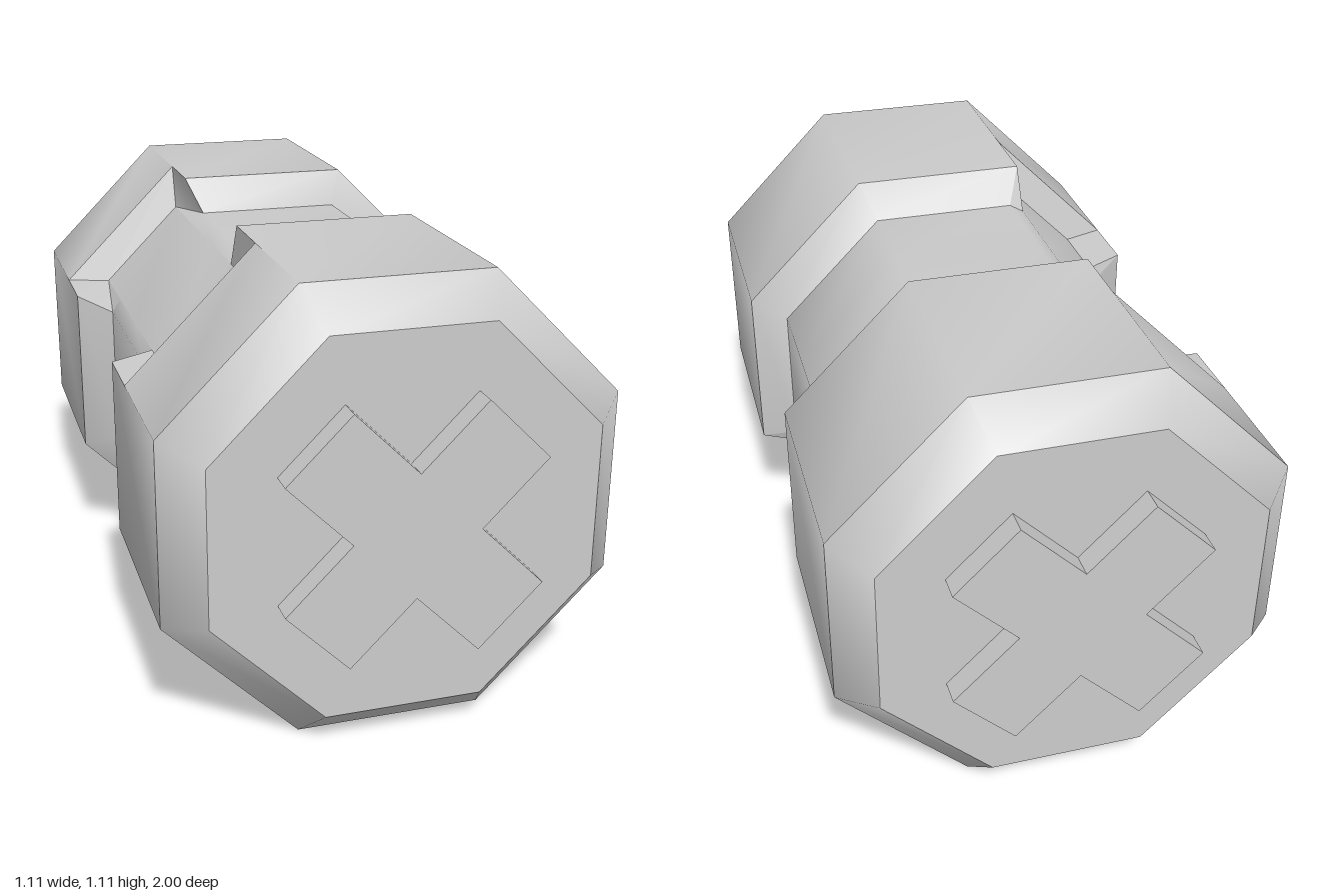
import * as THREE from 'three';
import { toCreasedNormals } from 'three/addons/utils/BufferGeometryUtils.js';

const OUTER = 0.553, INNER = 0.463, CENTER_Y = 0.553; // apothems of the octagons
const TAN = Math.tan(Math.PI / 8);
const NOTCHED = [3, 7]; // two opposite diagonal sides

// Point on octagon side k: distance d from the axis, offset t along the side
function at(k, d, t, z) {
  const a = k * Math.PI / 4;
  return [d * Math.cos(a) - t * Math.sin(a), d * Math.sin(a) + t * Math.cos(a), z];
}
const start = (k, d, z) => at(k, d, -d * TAN, z);
const end = (k, d, z) => at(k, d, d * TAN, z);

export function createModel() {
  const model = new THREE.Group();
  const body = new THREE.Group();
  body.position.y = CENTER_Y;
  body.name = 'canister';
  model.add(body);
  const material = new THREE.MeshStandardMaterial({ color: 0xcccccc });
  const parts = { cap: [], capChamfer: [], outerShell: [], innerBevel: [], core: [], notchWalls: [] };

  for (const s of [1, -1]) {
    // Add a convex polygon, mirrored to the other end when s is -1
    const poly = (name, ...pts) => {
      const p = pts.map(([x, y, z]) => [x, y, z * s]);
      if (s < 0) p.reverse();
      for (let i = 1; i < p.length - 1; i++) parts[name].push(...p[0], ...p[i], ...p[i + 1]);
    };
    // Strip across side k between two octagons
    const strip = (name, k, d0, z0, d1, z1) =>
      poly(name, start(k, d0, z0), end(k, d0, z0), end(k, d1, z1), start(k, d1, z1));

    const rim = [];
    for (let k = 0; k < 8; k++) {
      rim.push(start(k, INNER, 0.94));
      strip('capChamfer', k, OUTER, 0.84, INNER, 0.94);
      const notch = NOTCHED.includes(k);
      strip('outerShell', k, OUTER, notch ? 0.48 : 0.3, OUTER, 0.84);
      if (!notch) {
        strip('innerBevel', k, INNER, 0.24, OUTER, 0.3);
        strip('core', k, INNER, 0, INNER, 0.24);
        continue;
      }
      // Notch floor, its sloped end and its two side walls
      const pa = z => at(k, 0.474, -0.1485, z), pb = z => at(k, 0.474, 0.1485, z);
      poly('core', pa(0), pb(0), pb(0.44), pa(0.44));
      poly('core', start(k, INNER, 0), pa(0), pa(0.24), start(k, INNER, 0.24));
      poly('core', pb(0), end(k, INNER, 0), end(k, INNER, 0.24), pb(0.24));
      poly('innerBevel', pa(0.44), pb(0.44), end(k, OUTER, 0.48), start(k, OUTER, 0.48));
      poly('notchWalls', pa(0.24), pa(0.44), start(k, OUTER, 0.48), start(k, OUTER, 0.3), start(k, INNER, 0.24));
      poly('notchWalls', pb(0.24), end(k, INNER, 0.24), end(k, OUTER, 0.3), end(k, OUTER, 0.48), pb(0.44));
    }
    poly('cap', ...rim);
  }

  // Smooth around the octagon, sharp between the bands
  for (const [name, points] of Object.entries(parts)) {
    const geo = new THREE.BufferGeometry();
    geo.setAttribute('position', new THREE.Float32BufferAttribute(points, 3));
    geo.computeVertexNormals();
    const mesh = new THREE.Mesh(toCreasedNormals(geo, THREE.MathUtils.degToRad(50)), material);
    mesh.name = name;
    body.add(mesh);
  }

  // Raised diagonal cross on each end
  const w = 0.107, l = 0.326;
  const outline = [];
  for (let i = 0; i < 4; i++) {
    for (const [x, y] of [[w, -w], [l, -w], [l, w]]) {
      outline.push(new THREE.Vector2(x, y).rotateAround(new THREE.Vector2(), Math.PI / 4 + i * Math.PI / 2));
    }
  }
  const crossGeo = new THREE.ExtrudeGeometry(new THREE.Shape(outline), { depth: 0.07, bevelEnabled: false });
  for (const [name, z] of [['frontCross', 0.93], ['backCross', -1]]) {
    const cross = new THREE.Mesh(crossGeo, material);
    cross.name = name;
    cross.position.z = z;
    body.add(cross);
  }
  return model;
}
